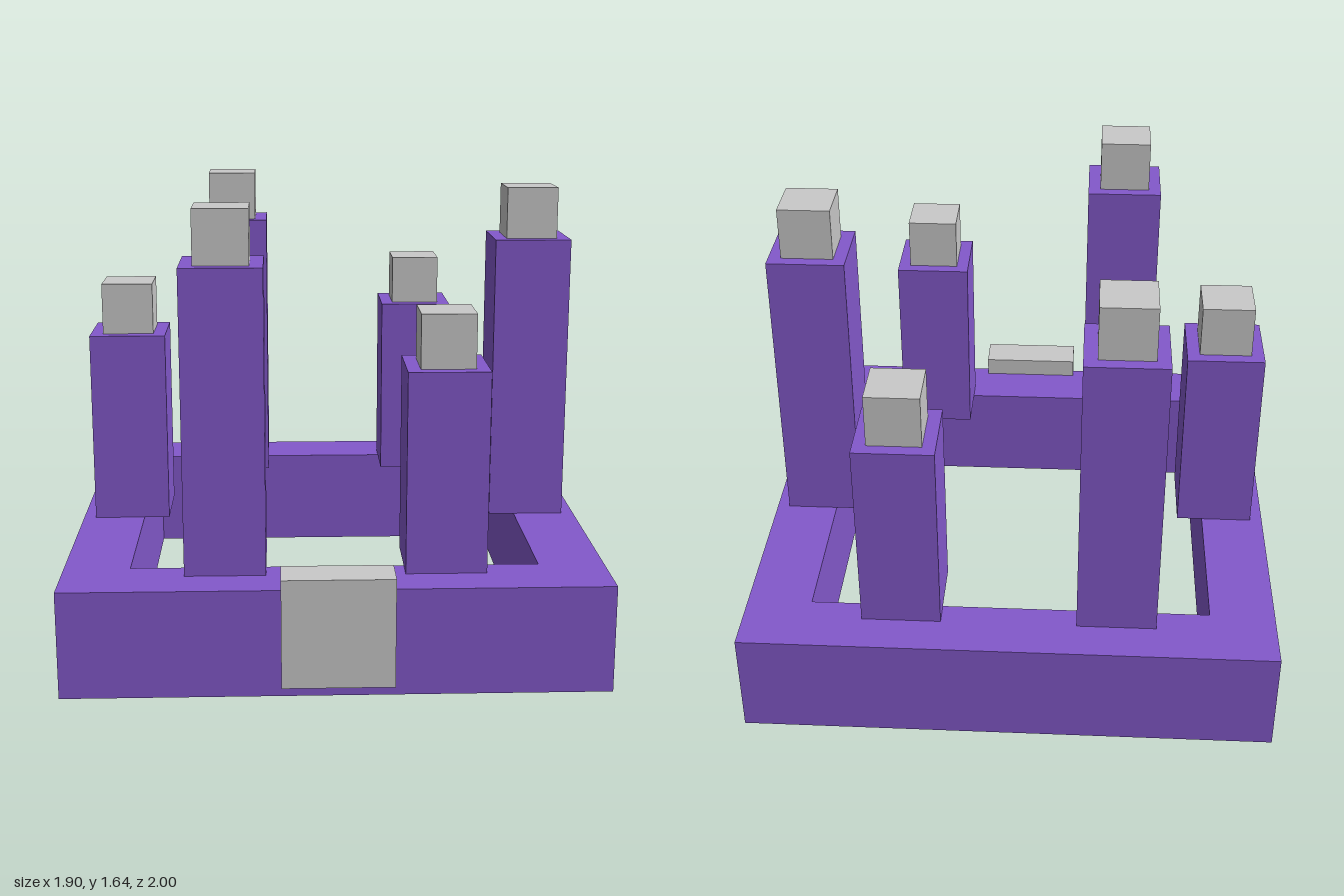
import * as THREE from 'three';

export function createModel() {
  const model = new THREE.Group();
  const purple = new THREE.MeshStandardMaterial({ color: 0x8359cb });
  purple.name = 'purple';
  const grey = new THREE.MeshStandardMaterial({ color: 0xc9c9c9 });
  grey.name = 'light grey';

  // Box placed by the centre of its underside
  function box(name, material, [w, h, d], [x, y, z], parent = model) {
    const mesh = new THREE.Mesh(new THREE.BoxGeometry(w, h, d), material);
    mesh.name = name;
    mesh.position.set(x, y + h / 2, z);
    parent.add(mesh);
  }

  // Rectangular base frame, open in the middle
  const baseHeight = 0.383;
  const rectangle = (path, x, z0, z1) => {
    path.moveTo(-x, -z1).lineTo(x, -z1).lineTo(x, -z0).lineTo(-x, -z0).closePath();
    return path;
  };
  const outline = rectangle(new THREE.Shape(), 0.95, -1, 0.9);
  outline.holes.push(rectangle(new THREE.Path(), 0.717, -0.767, 0.667));
  const frameGeometry = new THREE.ExtrudeGeometry(outline, { depth: baseHeight, bevelEnabled: false });
  frameGeometry.rotateX(-Math.PI / 2);
  const frame = new THREE.Mesh(frameGeometry, purple);
  frame.name = 'baseFrame';
  model.add(frame);

  // Front plaque, sunk partly into the frame
  box('frontPlaque', grey, [0.383, 0.383, 0.14], [0, 0.072, 0.93]);

  // Six pillars with cubic caps, standing on the frame: x, z, top height
  const tall = 1.453, short = 1.097, width = 0.283, cap = 0.19;
  const pillars = [
    ['frontRight', -0.383, 0.612, tall],
    ['frontLeft', 0.383, 0.612, short],
    ['middleRight', -0.763, -0.05, short],
    ['middleLeft', 0.763, -0.05, tall],
    ['backRight', -0.383, -0.71, tall],
    ['backLeft', 0.383, -0.71, short],
  ];
  for (const [name, x, z, top] of pillars) {
    const pillar = new THREE.Group();
    pillar.name = name + 'Pillar';
    box(name + 'Column', purple, [width, top - baseHeight, width], [x, baseHeight, z], pillar);
    box(name + 'Cap', grey, [cap, cap, cap], [x, top, z], pillar);
    model.add(pillar);
  }
  return model;
}
